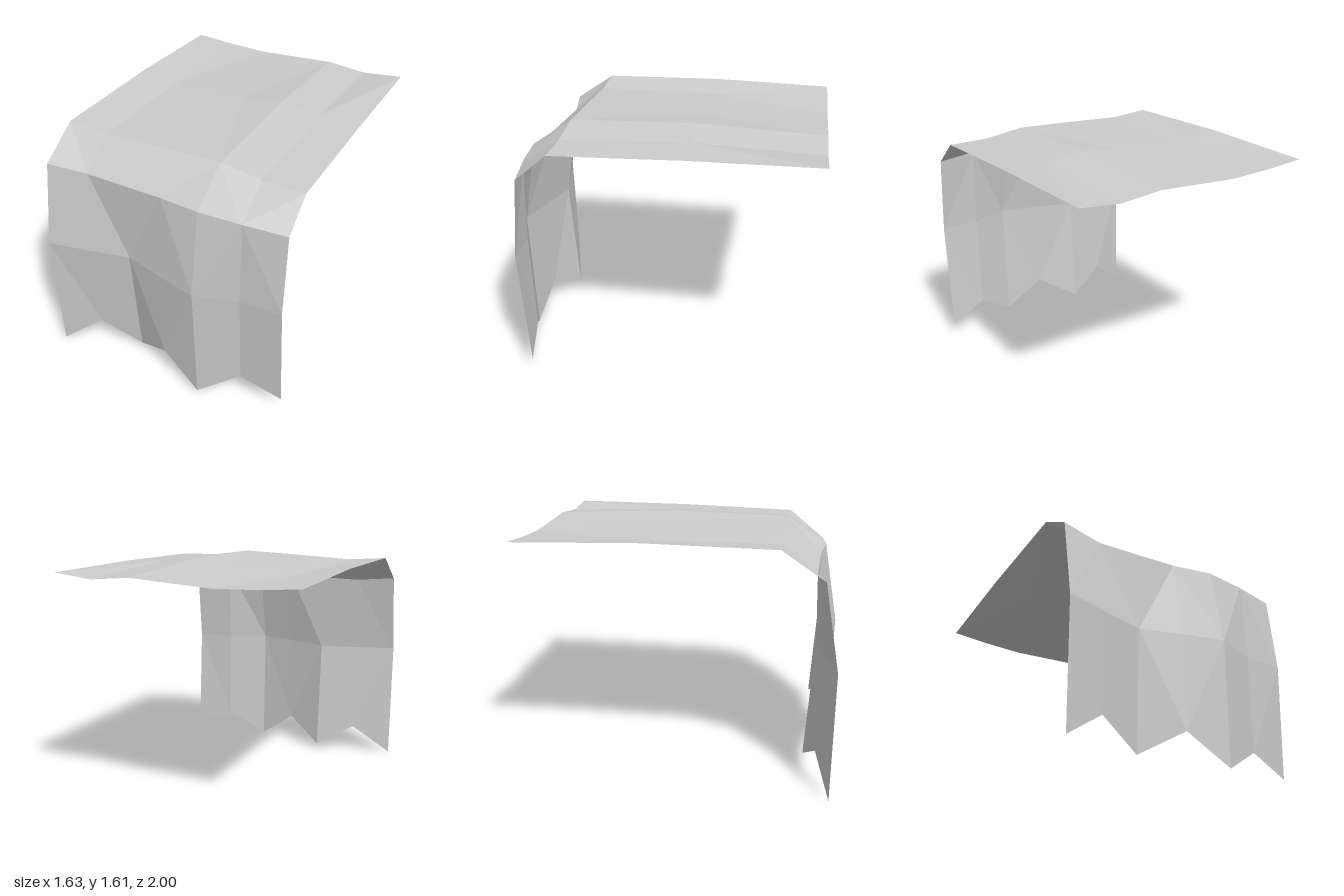
import * as THREE from 'three';

// Draped sheet: seven columns across, rows running from the back edge over the front and down
const COLUMNS = 7;
const WIDTH = 1.63;
const flat = (v) => Array(COLUMNS).fill(v);
const ROWS = [
  // back edge
  { y: [1.58, 1.56, 1.55, 1.565, 1.58, 1.555, 1.582], z: flat(-1) },
  // middle of the top
  { y: [1.6, 1.565, 1.575, 1.585, 1.615, 1.585, 1.575], z: flat(-0.19) },
  // front of the top
  { y: [1.587, 1.565, 1.577, 1.587, 1.595, 1.555, 1.55], z: flat(0.635) },
  // bend
  { y: [1.41, 1.39, 1.393, 1.398, 1.41, 1.4, 1.382], z: [0.9, 0.85, 0.86, 0.87, 0.905, 0.88, 0.838] },
  // middle of the hanging flap
  { y: [0.855, 0.85, 0.85, 0.853, 0.855, 0.85, 0.85], z: [0.995, 0.93, 0.865, 0.935, 1, 0.9, 0.885] },
  // jagged hem
  { y: [0.005, 0.21, 0.05, 0.21, 0.015, 0.195, 0.08], z: [0.985, 0.89, 0.81, 0.93, 0.975, 0.88, 0.835] },
];

// Grid of folded quads; the diagonals alternate so creases fan out from every other point
function sheetGeometry(rows) {
  const positions = [];
  const indices = [];
  rows.forEach((row) => {
    for (let c = 0; c < COLUMNS; c++) {
      positions.push((c / (COLUMNS - 1) - 0.5) * WIDTH, row.y[c], row.z[c]);
    }
  });
  for (let r = 0; r < rows.length - 1; r++) {
    for (let c = 0; c < COLUMNS - 1; c++) {
      const a = r * COLUMNS + c;
      const b = a + 1;
      const d = a + COLUMNS;
      const e = d + 1;
      if ((r + c) % 2 === 0) indices.push(a, d, e, a, e, b);
      else indices.push(a, d, b, b, d, e);
    }
  }
  const geometry = new THREE.BufferGeometry();
  geometry.setAttribute('position', new THREE.Float32BufferAttribute(positions, 3));
  geometry.setIndex(indices);
  const faceted = geometry.toNonIndexed();
  faceted.computeVertexNormals();
  return faceted;
}

export function createModel() {
  const group = new THREE.Group();
  group.name = 'drapedCloth';
  const cloth = new THREE.MeshStandardMaterial({
    name: 'light grey cloth',
    color: 0xcccccc,
    flatShading: true,
    side: THREE.DoubleSide,
  });
  const sheet = new THREE.Mesh(sheetGeometry(ROWS), cloth);
  sheet.name = 'clothSheet';
  group.add(sheet);
  return group;
}
